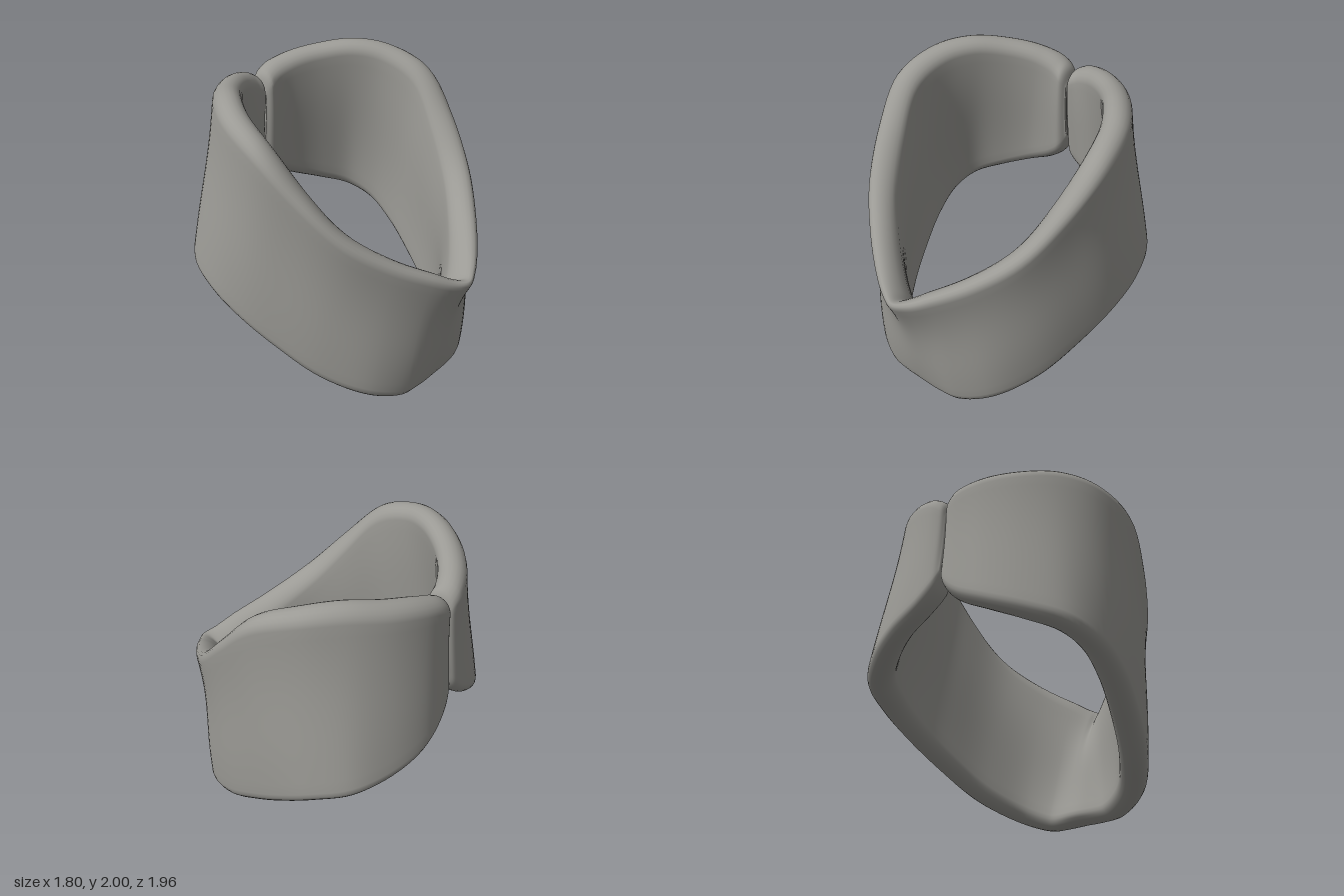
import * as THREE from 'three';

// Outer face of half the band, from front centre to the back end: top and bottom edge points.
const HALF = [
  [[0, 0.965, 1.01], [0, 0, 0.71]],
  [[0.11, 0.985, 0.965], [0.15, 0, 0.71]],
  [[0.24, 1.05, 0.88], [0.31, 0.01, 0.69]],
  [[0.45, 1.17, 0.71], [0.52, 0.08, 0.57]],
  [[0.66, 1.35, 0.50], [0.70, 0.20, 0.31]],
  [[0.80, 1.61, 0.25], [0.82, 0.38, 0.02]],
  [[0.87, 1.86, -0.02], [0.89, 0.54, -0.24]],
  [[0.81, 1.97, -0.32], [0.90, 0.66, -0.47]],
  [[0.67, 2.0, -0.55], [0.82, 0.745, -0.71]],
  [[0.48, 1.97, -0.75], [0.62, 0.82, -0.88]],
  [[0.27, 1.93, -0.88], [0.38, 0.91, -0.98]],
  [[0.10, 1.88, -0.93], [0.16, 1.02, -0.99]],
  [[0.03, 1.83, -0.92], [0.05, 1.13, -0.97]],
  [[0.005, 1.73, -0.89], [0.005, 1.26, -0.93]],
];

const STEPS = 156; // sections along the band
const ARC = 10;    // segments around each rounded rim
const WALL = 14;   // segments up each wall

// Rounded section as (u: 1 outer to -1 inner, v: 0 bottom to 1 top); r is the rim radius in v.
function sectionProfile(r) {
  const points = [];
  for (const side of [1, -1]) {
    for (let i = 0; i < WALL; i++) {
      points.push([side, 0.5 + side * (0.5 - r) * (2 * i / WALL - 1)]);
    }
    for (let i = 0; i < ARC; i++) {
      const a = Math.PI * i / ARC;
      points.push([side * Math.cos(a), 0.5 + side * (0.5 - r + r * Math.sin(a))]);
    }
  }
  return points;
}

// Point on the inner face: the outer edge moved level and square to the band,
// turning straight forward at the back ends so that they meet flat.
function inset(curve, t, distance, endBlend) {
  const chord = curve.getPoint(Math.min(1, t + 0.05)).sub(curve.getPoint(Math.max(0, t - 0.05)));
  const inward = new THREE.Vector3(chord.z, 0, -chord.x).normalize();
  inward.lerp(new THREE.Vector3(0, 0, 1), endBlend).normalize();
  return curve.getPoint(t).addScaledVector(inward, distance);
}

function bandGeometry() {
  // Mirror the stations and run a smooth curve along the top and bottom edges
  const mirrored = HALF.slice(1).reverse().map(s => s.map(([x, y, z]) => [-x, y, z]));
  const stations = [...mirrored, ...HALF];
  const [top, bottom] = [0, 1].map(k =>
    new THREE.CatmullRomCurve3(stations.map(s => new THREE.Vector3(...s[k]))));

  const positions = [], indices = [], centres = [];
  const ring = 2 * (WALL + ARC);

  for (let i = 0; i <= STEPS; i++) {
    const t = i / STEPS;
    const s = Math.abs(2 * t - 1); // 0 at the front, 1 at the back ends
    const bell = width => Math.exp(-Math.pow(s / width, 2));
    // Even thickness, thinner at the ends, with a small chin bump low at the front
    const taper = 1 - 0.4 * THREE.MathUtils.smoothstep(s, 0.9, 1);
    const endBlend = THREE.MathUtils.smoothstep(s, 0.7, 0.9);
    const ot = top.getPoint(t), ob = bottom.getPoint(t);
    const it = inset(top, t, 0.185 * taper, endBlend);
    const ib = inset(bottom, t, 0.185 * taper + 0.055 * bell(0.1), endBlend);
    it.y -= 0.08 * bell(0.3);
    ib.y += 0.015 * Math.min(1, s / 0.3) * taper;

    const r = Math.min(0.3, 0.0925 * taper / ot.distanceTo(ob));
    // The front is hollowed; the sides swell low down and draw in below the rim
    const hollow = 0.01 + 0.03 * bell(0.2);
    const swell = 0.016 * (1 - s);
    for (const [u, v] of sectionProfile(r)) {
      const outer = ob.clone().lerp(ot, v);
      const p = ib.clone().lerp(it, v).lerp(outer, (u + 1) / 2);
      const pull = hollow * Math.sin(Math.PI * v) - swell * Math.sin(2 * Math.PI * v);
      const f = 1 - pull / Math.hypot(p.x, p.z);
      positions.push(p.x * f, p.y, p.z * f);
    }
    if (i === 0 || i === STEPS) {
      centres.push(ot.clone().add(ob).add(it).add(ib).multiplyScalar(0.25));
    }
  }

  for (let i = 0; i < STEPS; i++) {
    for (let j = 0; j < ring; j++) {
      const k = (j + 1) % ring;
      const a = i * ring + j, b = a + ring, c = i * ring + k, d = c + ring;
      indices.push(a, b, c, b, d, c);
    }
  }

  // Close both back ends
  const first = positions.length / 3, last = STEPS * ring;
  for (const c of centres) positions.push(c.x, c.y, c.z);
  for (let j = 0; j < ring; j++) {
    const k = (j + 1) % ring;
    indices.push(first, j, k, first + 1, last + k, last + j);
  }

  const geometry = new THREE.BufferGeometry();
  geometry.setAttribute('position', new THREE.Float32BufferAttribute(positions, 3));
  geometry.setIndex(indices);
  geometry.computeVertexNormals();
  return geometry;
}

export function createModel() {
  const group = new THREE.Group();
  group.name = 'neckCollar';
  const grey = new THREE.MeshStandardMaterial({ color: 0x9b9a95 });
  grey.name = 'warm grey';

  const band = new THREE.Mesh(bandGeometry(), grey);
  band.name = 'collarBand';
  group.add(band);
  return group;
}
